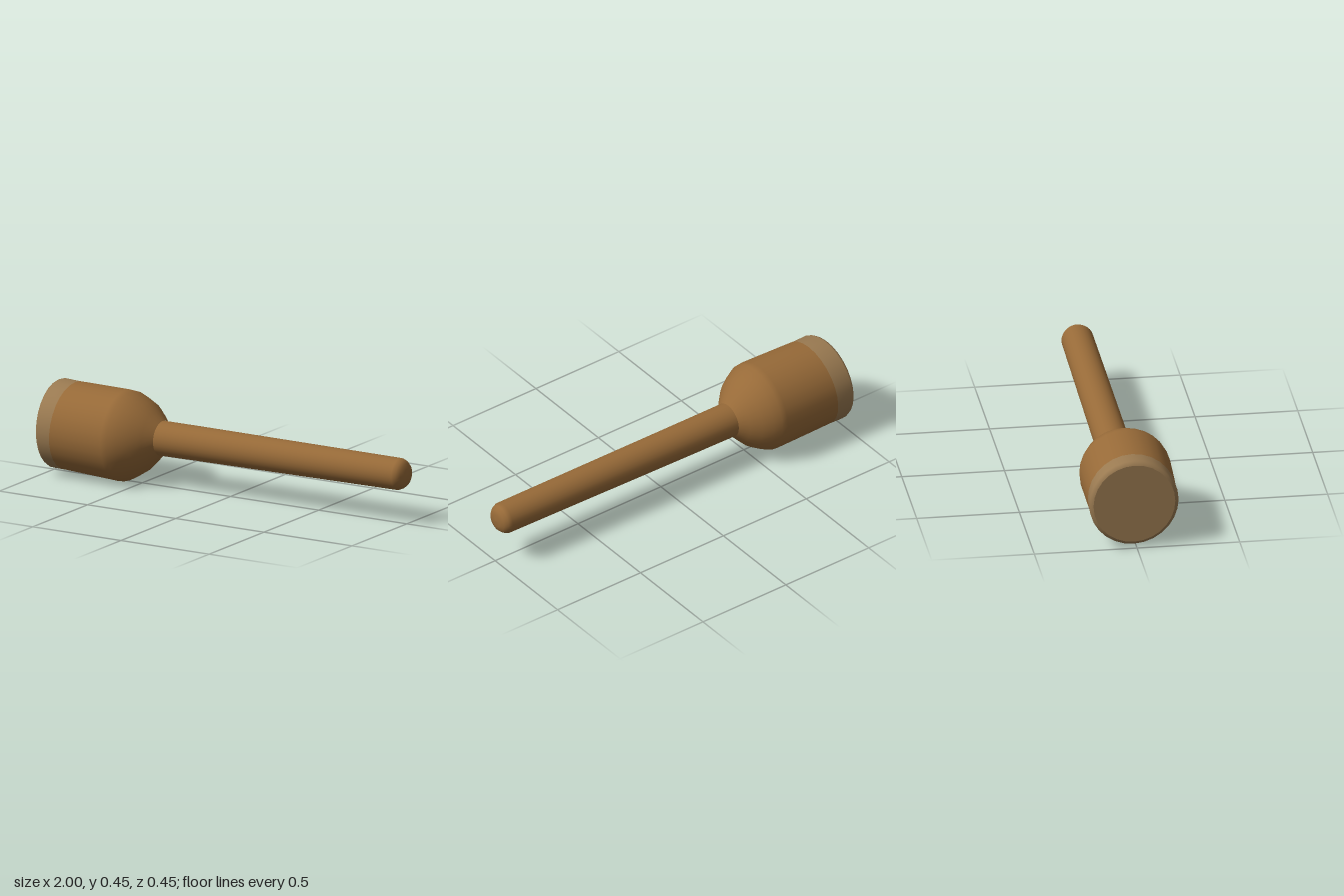
import * as THREE from 'three';

const wood = new THREE.MeshStandardMaterial({ color: 0x976a38 });
wood.name = 'brown wood';
const pale = new THREE.MeshStandardMaterial({ color: 0x9a7a51 });
pale.name = 'worn pale wood';

// Slightly crooked centreline of the mallet: x, y, z
const centreline = [
  [-1, 0.234, -0.012],
  [-0.58, 0.225, 0.002],
  [-0.4, 0.236, -0.015],
  [1, 0.243, -0.006],
];

function centreAt(x) {
  let i = 0;
  while (i < centreline.length - 2 && x > centreline[i + 1][0]) i++;
  const [a, b] = [centreline[i], centreline[i + 1]];
  const t = THREE.MathUtils.clamp((x - a[0]) / (b[0] - a[0]), 0, 1);
  return [a[1] + (b[1] - a[1]) * t, a[2] + (b[2] - a[2]) * t];
}

// Turned part along x from [x, radius] pairs, bent onto the centreline
function turned(name, profile, material) {
  const geometry = new THREE.LatheGeometry(profile.map(([x, r]) => new THREE.Vector2(r, x)), 28);
  geometry.rotateZ(-Math.PI / 2);
  const p = geometry.attributes.position;
  for (let i = 0; i < p.count; i++) {
    const x = p.getX(i), y = p.getY(i), z = p.getZ(i);
    const [cy, cz] = centreAt(x);
    // the striking end is cut a little askew, and its band edge leans
    const skew = x < -0.95 ? 0.035 * z : x < -0.85 ? 0.06 * y : 0;
    p.setXYZ(i, x + skew, y + cy, z + cz);
  }
  const mesh = new THREE.Mesh(geometry, material);
  mesh.name = name;
  return mesh;
}

export function createModel() {
  const mallet = new THREE.Group();
  mallet.name = 'mallet';
  mallet.add(
    // flat striking face and its softened, worn rim
    turned('strikingFace', [[-0.993, 0], [-0.993, 0.2]], pale),
    turned('wornBand', [[-0.993, 0.2], [-0.987, 0.212], [-0.975, 0.218], [-0.9, 0.2165]], pale),
    // head body narrowing through the shoulder to the neck
    turned('head', [
      [-0.9, 0.2165], [-0.8, 0.219], [-0.6, 0.223], [-0.57, 0.22], [-0.53, 0.201],
      [-0.48, 0.172], [-0.435, 0.128], [-0.395, 0.085],
    ], wood),
    // handle with a rounded tip
    turned('handle', [
      [-0.41, 0.085], [-0.2, 0.084], [0.4, 0.081], [0.955, 0.078],
      [0.975, 0.07], [0.992, 0.055], [0.998, 0.03], [1, 0],
    ], wood),
  );
  return mallet;
}
